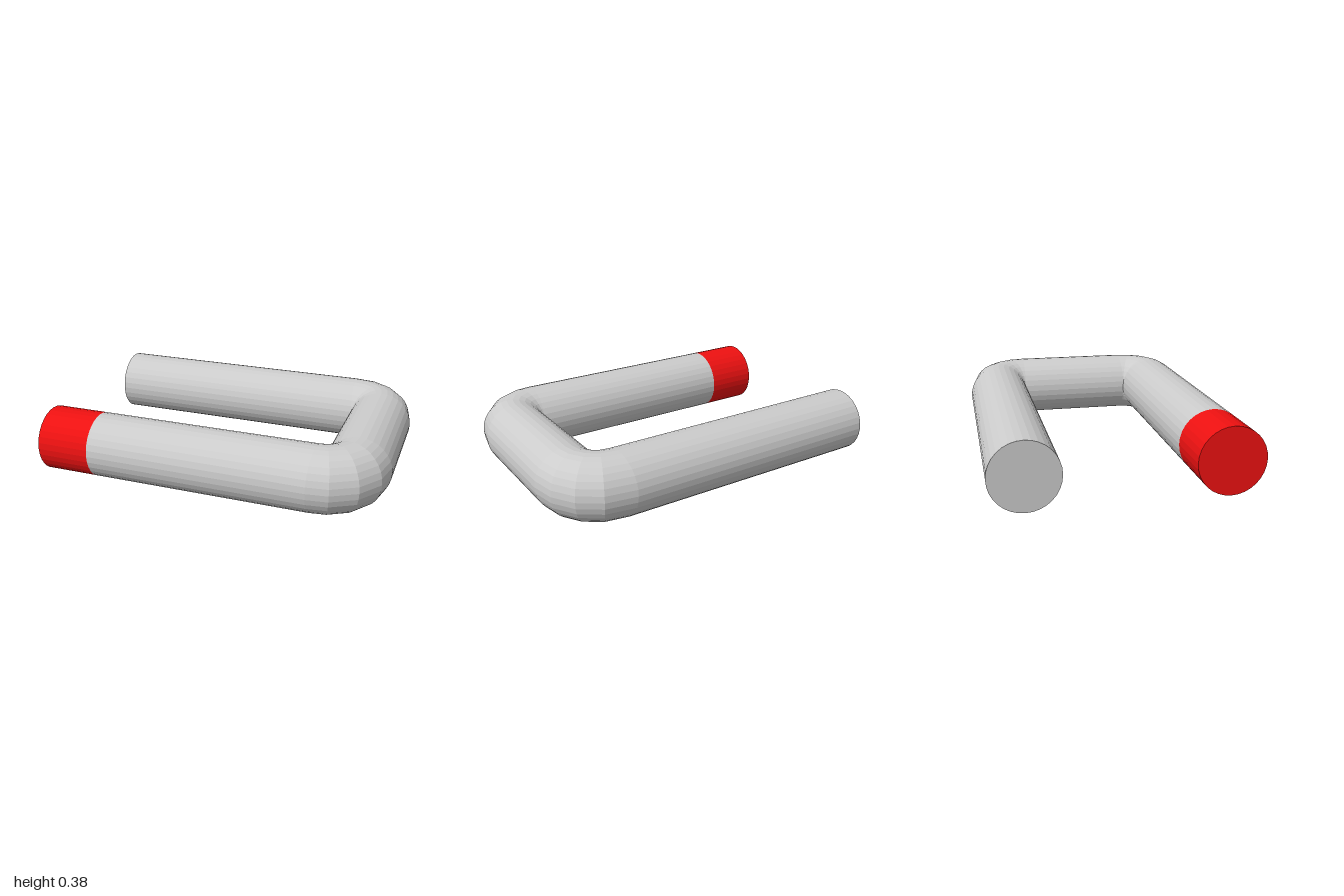
import * as THREE from 'three';

const R = 0.189;          // tube radius
const SIDES = 32;
const PIVOT_X = 0.622;    // inner corners, where the bends turn
const PIVOT_Z = 0.348;

// Rings swept along the path, each given by its centre and outward angle in the xz plane
function sweep(rings) {
  const pos = [], idx = [];
  for (const { x, z, a } of rings) {
    const dx = Math.cos(a), dz = Math.sin(a);
    for (let j = 0; j < SIDES; j++) {
      const t = (j / SIDES) * Math.PI * 2;
      const d = R * Math.cos(t);
      pos.push(x + dx * d, R + R * Math.sin(t), z + dz * d);
    }
  }
  for (let i = 0; i < rings.length - 1; i++) {
    for (let j = 0; j < SIDES; j++) {
      const k = (j + 1) % SIDES;
      const a = i * SIDES + j, b = i * SIDES + k;
      idx.push(a, b, a + SIDES, b, b + SIDES, a + SIDES);
    }
  }
  // Flat end caps
  const last = (rings.length - 1) * SIDES;
  for (let j = 1; j < SIDES - 1; j++) {
    idx.push(0, j + 1, j, last, last + j, last + j + 1);
  }
  const geo = new THREE.BufferGeometry();
  geo.setAttribute('position', new THREE.Float32BufferAttribute(pos, 3));
  geo.setIndex(idx);
  const flat = geo.toNonIndexed();
  flat.computeVertexNormals();
  return flat;
}

export function createModel() {
  const group = new THREE.Group();
  const grey = new THREE.MeshStandardMaterial({ color: 0xcccccc, flatShading: true });
  const red = new THREE.MeshStandardMaterial({ color: 0xee1111, flatShading: true });

  // Bent tube: back arm, two mitred bends, front arm
  const bend = (side, degrees) => degrees.map((deg) => {
    const a = THREE.MathUtils.degToRad(deg);
    return { x: PIVOT_X + R * Math.cos(a), z: side * PIVOT_Z + R * Math.sin(a), a };
  });
  const armZ = PIVOT_Z + R;
  const rings = [
    { x: -1, z: -armZ, a: -Math.PI / 2 },
    ...bend(-1, [-95, -67, -44, -22, 0]),
    ...bend(1, [0, 23, 48, 73, 92]),
    { x: -0.675, z: armZ, a: Math.PI / 2 },
  ];
  const tube = new THREE.Mesh(sweep(rings), grey);
  tube.name = 'bentTube';
  group.add(tube);

  // Coloured tip on the front arm
  const tipGeo = new THREE.CylinderGeometry(R, R, 0.315, SIDES);
  tipGeo.rotateZ(Math.PI / 2);
  const tip = new THREE.Mesh(tipGeo, red);
  tip.name = 'redTip';
  tip.position.set(-0.8325, R, armZ);
  group.add(tip);

  return group;
}
